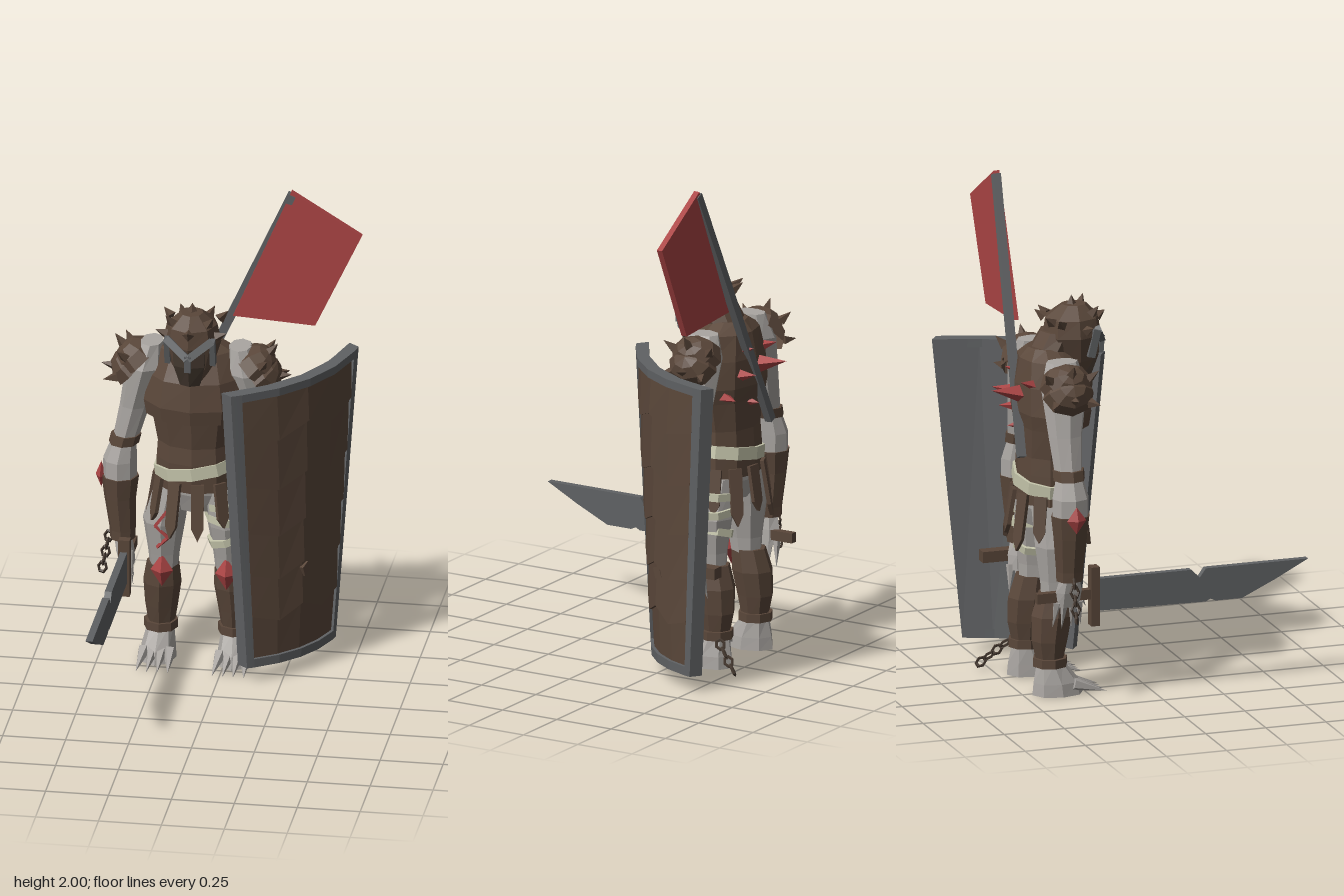
import * as THREE from 'three';

const mat = (color) => new THREE.MeshStandardMaterial({ color, flatShading: true, side: THREE.DoubleSide });
const SKIN = mat(0xaaa6a2), HIDE = mat(0x5a473a), STEEL = mat(0x606264), RED = mat(0xaa4444), CLOTH = mat(0xc4c4aa), DARK = mat(0x453930);
const V = (x, y, z) => new THREE.Vector3(x, y, z);
const UP = V(0, 1, 0);

function add(parent, name, geo, material, x = 0, y = 0, z = 0) {
  const m = new THREE.Mesh(geo, material);
  m.name = name;
  m.position.set(x, y, z);
  parent.add(m);
  return m;
}

// Stacked elliptical rings, bottom to top: [y, centre x, centre z, radius x, radius z]
function loft(parent, name, material, rings, n = 8) {
  const pos = [], idx = [];
  for (const [y, cx, cz, rx, rz] of rings)
    for (let i = 0; i < n; i++) {
      const a = (i / n) * Math.PI * 2;
      pos.push(cx + rx * Math.sin(a), y, cz + rz * Math.cos(a));
    }
  for (let j = 0; j < rings.length - 1; j++)
    for (let i = 0; i < n; i++) {
      const a = j * n + i, b = j * n + (i + 1) % n;
      idx.push(a, b, b + n, a, b + n, a + n);
    }
  const top = (rings.length - 1) * n;
  for (let i = 1; i < n - 1; i++) idx.push(0, i + 1, i, top, top + i, top + i + 1);
  const g = new THREE.BufferGeometry();
  g.setAttribute('position', new THREE.Float32BufferAttribute(pos, 3));
  g.setIndex(idx);
  g.computeVertexNormals();
  return add(parent, name, g, material);
}

// Pyramid spike with its base at p, pointing along dir
function spike(parent, name, material, p, dir, r, h, sides = 4) {
  const d = dir.clone().normalize();
  const m = add(parent, name, new THREE.ConeGeometry(r, h, sides), material);
  m.quaternion.setFromUnitVectors(UP, d);
  m.position.copy(p).addScaledVector(d, h / 2);
  return m;
}

// Straight bar from a to b
function bar(parent, name, material, a, b, w, d) {
  const m = add(parent, name, new THREE.BoxGeometry(w, a.distanceTo(b), d), material);
  m.position.copy(a).add(b).multiplyScalar(0.5);
  m.quaternion.setFromUnitVectors(UP, b.clone().sub(a).normalize());
  return m;
}

function gem(parent, name, x, y, z, sx, sy, sz) {
  add(parent, name, new THREE.OctahedronGeometry(1), RED, x, y, z).scale.set(sx, sy, sz);
}

function chain(parent, name, a, b, count) {
  const g = new THREE.Group();
  g.name = name;
  parent.add(g);
  for (let i = 0; i < count; i++) {
    const m = add(g, 'link', new THREE.TorusGeometry(0.017, 0.006, 4, 6), DARK);
    m.scale.y = 1.3;
    m.position.lerpVectors(a, b, i / (count - 1));
    m.quaternion.setFromUnitVectors(UP, b.clone().sub(a).normalize());
    m.rotateY(i % 2 ? Math.PI / 2 : 0.2);
  }
}

const outline = (pts) => new THREE.Shape(pts.map(([x, y]) => new THREE.Vector2(x, y)));
const slab = (pts, depth) => new THREE.ExtrudeGeometry(outline(pts), { depth, bevelEnabled: false });

function buildTorso(body) {
  loft(body, 'hips', SKIN, [[0.66, 0, -0.36, 0.1, 0.08], [0.74, 0, -0.36, 0.15, 0.11], [0.82, 0, -0.355, 0.15, 0.115]]);
  loft(body, 'belly', HIDE, [[0.76, 0, -0.355, 0.165, 0.125], [0.88, 0, -0.35, 0.16, 0.125], [0.95, 0, -0.35, 0.155, 0.12], [1.12, 0, -0.34, 0.185, 0.135]], 10);
  loft(body, 'breastplate', HIDE, [[1.07, 0, -0.335, 0.2, 0.145], [1.13, 0, -0.335, 0.21, 0.155], [1.24, 0, -0.34, 0.19, 0.145], [1.34, 0, -0.36, 0.15, 0.105], [1.38, 0, -0.36, 0.08, 0.07]], 10);
  const belt = loft(body, 'belt', CLOTH, [[-0.025, 0, 0, 0.172, 0.137], [0.025, 0, 0, 0.17, 0.135]], 10);
  belt.position.set(0, 0.845, -0.352);
  belt.rotation.z = 0.17;
  // Hanging hide strips around the hips
  const strip = slab([[-0.026, 0], [0.026, 0], [0.024, -0.18], [0, -0.23], [-0.024, -0.18]], 0.016);
  for (let i = 0; i < 11; i++) {
    const a = ((i + 0.25) / 11) * Math.PI * 2;
    const m = add(body, 'skirtStrip', strip, HIDE, 0.155 * Math.sin(a), 0.8, -0.355 + 0.12 * Math.cos(a));
    m.rotation.set(-0.16, a, 0, 'YXZ');
    m.scale.y = i % 2 ? 0.8 : 1;
  }
  // Red spines on the back
  for (const [x, y, z, dx, dy, r, h] of [[-0.03, 1.2, -0.46, -0.1, 0.2, 0.04, 0.14], [0.08, 1.18, -0.45, 0.25, 0.2, 0.03, 0.1],
    [-0.1, 1.25, -0.43, -0.3, 0.3, 0.028, 0.08], [0.14, 1.1, -0.42, 0.4, 0, 0.025, 0.08], [0.02, 1.06, -0.45, 0, 0, 0.022, 0.06], [0.05, 1.27, -0.44, 0.1, 0.3, 0.025, 0.07]])
    spike(body, 'backSpine', RED, V(x, y, z), V(dx, dy, -1), r, h);
}

function buildHead(body) {
  loft(body, 'neck', HIDE, [[1.28, 0, -0.37, 0.095, 0.07], [1.37, 0, -0.34, 0.09, 0.08], [1.44, 0, -0.3, 0.08, 0.08]]);
  loft(body, 'helmet', HIDE, [[1.25, 0, -0.235, 0.045, 0.05], [1.32, 0, -0.24, 0.085, 0.085], [1.42, 0, -0.25, 0.115, 0.12],
    [1.49, 0, -0.25, 0.1, 0.11], [1.54, 0, -0.24, 0.045, 0.05]]);
  loft(body, 'faceGuard', DARK, [[1.25, 0, -0.2, 0.045, 0.035], [1.34, 0, -0.18, 0.07, 0.045], [1.42, 0, -0.18, 0.075, 0.048]], 6);
  for (const s of [-1, 1]) {
    bar(body, 'visorBrow', STEEL, V(0, 1.385, -0.125), V(s * 0.09, 1.45, -0.17), 0.03, 0.025);
    bar(body, 'visorCheek', STEEL, V(s * 0.09, 1.45, -0.175), V(s * 0.09, 1.34, -0.2), 0.022, 0.03);
    for (const [x, y, z] of [[0.1, 1.45, -0.22], [0.07, 1.51, -0.19], [0.095, 1.48, -0.32], [0.05, 1.48, -0.345]])
      spike(body, 'helmetSpike', HIDE, V(s * x, y, z), V(s * x, y - 1.4, z + 0.25), 0.022, 0.05);
  }
  bar(body, 'visorNose', STEEL, V(0, 1.4, -0.125), V(0, 1.33, -0.13), 0.025, 0.02);
  spike(body, 'helmetCrest', HIDE, V(0, 1.525, -0.25), UP, 0.028, 0.05);
  spike(body, 'helmetSpike', HIDE, V(0, 1.48, -0.145), V(0, 0.6, 1), 0.025, 0.04);
}

function buildArm(body, s) {
  const arm = new THREE.Group();
  arm.name = s > 0 ? 'leftArm' : 'rightArm';
  body.add(arm);
  const X = (rings) => rings.map(([y, cx, cz, rx, rz]) => [y, s * cx, cz, rx, rz]);
  loft(arm, 'upperArm', SKIN, X([[0.92, 0.285, -0.36, 0.05, 0.055], [1.08, 0.245, -0.36, 0.06, 0.07], [1.26, 0.2, -0.35, 0.08, 0.095], [1.36, 0.175, -0.35, 0.045, 0.065]]));
  loft(arm, 'elbowBand', HIDE, X([[0.91, 0.29, -0.36, 0.06, 0.065], [0.95, 0.28, -0.36, 0.06, 0.065]])).rotation.z = 0;
  loft(arm, 'forearm', SKIN, X([[0.74, 0.305, -0.36, 0.068, 0.075], [0.84, 0.305, -0.36, 0.067, 0.075], [0.92, 0.29, -0.36, 0.05, 0.055]]));
  loft(arm, 'bracer', HIDE, X([[0.5, 0.295, -0.36, 0.05, 0.055], [0.54, 0.295, -0.36, 0.052, 0.056], [0.68, 0.305, -0.36, 0.064, 0.07], [0.77, 0.305, -0.36, 0.075, 0.08]]));
  gem(arm, 'forearmSpike', s * 0.38, 0.765, -0.36, 0.022, 0.055, 0.04);
  // Hand with clawed fingers
  loft(arm, 'palm', SKIN, X([[0.39, 0.275, -0.36, 0.03, 0.055], [0.45, 0.285, -0.36, 0.036, 0.055], [0.51, 0.295, -0.36, 0.035, 0.04]]), 6);
  for (let i = 0; i < 4; i++)
    spike(arm, 'finger', SKIN, V(s * 0.28, 0.41, -0.405 + i * 0.03), V(-s * 0.2, -1, (i - 1.5) * 0.08), 0.018, 0.13 - Math.abs(i - 1.5) * 0.012, 5);
  spike(arm, 'thumb', SKIN, V(s * 0.265, 0.46, -0.32), V(-s * 0.2, -1, 0.5), 0.018, 0.1, 5);
  // Overlapping shoulder plates with spikes
  [[0.225, 1.27, 0.105, 1], [0.25, 1.235, 0.1, 1.15]].forEach(([x, y, r, k]) => {
    const pad = add(arm, 'shoulderPlate', new THREE.SphereGeometry(r, 8, 3, 0, Math.PI * 2, 0, Math.PI / 2), HIDE, s * x, y, -0.35);
    pad.rotation.z = -s * 0.75 * k;
    pad.scale.set(0.85, 0.95, 1.05);
  });
  for (const [x, y, z] of [[0.29, 1.335, -0.35], [0.325, 1.24, -0.35], [0.27, 1.31, -0.27], [0.27, 1.31, -0.43], [0.31, 1.22, -0.28], [0.31, 1.22, -0.42]])
    spike(arm, 'shoulderSpike', HIDE, V(s * x, y, z), V(s * (x - 0.2), y - 1.22, z + 0.35), 0.022, 0.055);
}

function buildLeg(body, s) {
  const leg = new THREE.Group();
  leg.name = s > 0 ? 'leftLeg' : 'rightLeg';
  body.add(leg);
  const X = (rings) => rings.map(([y, cx, cz, rx, rz]) => [y, s * cx, cz, rx, rz]);
  loft(leg, 'thigh', SKIN, X([[0.38, 0.13, -0.36, 0.055, 0.06], [0.46, 0.13, -0.355, 0.063, 0.07], [0.6, 0.128, -0.35, 0.085, 0.095], [0.76, 0.095, -0.355, 0.075, 0.095]]));
  loft(leg, 'shinGuard', HIDE, X([[0.13, 0.145, -0.39, 0.052, 0.055], [0.22, 0.145, -0.39, 0.066, 0.075], [0.32, 0.14, -0.38, 0.076, 0.085], [0.41, 0.135, -0.365, 0.064, 0.072]]));
  loft(leg, 'ankleBand', HIDE, X([[0.115, 0.147, -0.39, 0.068, 0.07], [0.15, 0.147, -0.39, 0.068, 0.07]]));
  gem(leg, 'kneeSpike', s * 0.128, 0.4, -0.29, 0.045, 0.07, 0.035);
  loft(leg, 'foot', SKIN, X([[0, 0.153, -0.36, 0.072, 0.105], [0.05, 0.152, -0.365, 0.068, 0.095], [0.13, 0.147, -0.39, 0.052, 0.055]]));
  for (let i = 0; i < 4; i++)
    spike(leg, 'toe', SKIN, V(s * (0.1 + i * 0.034), 0.045, -0.31), V(s * (i - 1.5) * 0.06, -0.28, 1), 0.026, 0.14, 5);
}

// Curved tapering shield: u across, v up, d outward
function shieldPoint(u, v, d) {
  const hx = 0.148 + 0.062 * v, hz = 0.178 + 0.1 * v;
  const bulge = (0.055 + 0.035 * v) * (1 - u * u) + d;
  return V(0.245 + 0.013 * v + u * hx + 0.795 * bulge, 0.065 + 1.208 * v, -0.34 - u * hz + 0.607 * bulge);
}

function shieldPiece(parent, name, material, u0, u1, v0, v1, d0, d1, zig = 0) {
  const g = new THREE.BoxGeometry(1, 1, 1, 4, 1, 1), p = g.attributes.position;
  for (let i = 0; i < p.count; i++) {
    const u = u0 + (u1 - u0) * (p.getX(i) + 0.5), low = p.getY(i) < 0;
    const notch = low ? zig * (1 - 2 * Math.abs(Math.abs(u) - 0.5)) : 0;
    const d = p.getZ(i) < 0 ? d0 : d1 + (low && zig ? 0.014 : 0);
    p.setXYZ(i, ...shieldPoint(u, (low ? v0 : v1) - notch, d).toArray());
  }
  g.computeVertexNormals();
  add(parent, name, g, material);
}

function buildShield(root) {
  const g = new THREE.Group();
  g.name = 'shield';
  root.add(g);
  shieldPiece(g, 'backing', STEEL, -1, 1, 0, 1, -0.025, 0.008);
  for (const [a, b, c, d] of [[-1, -0.88, 0, 1], [0.88, 1, 0, 1], [-0.88, 0.88, 0, 0.03], [-0.88, 0.88, 0.972, 1]])
    shieldPiece(g, 'rim', STEEL, a, b, c, d, -0.025, 0.027);
  const edges = [0.03, 0.195, 0.345, 0.5, 0.67, 0.85, 0.972];
  for (let i = 0; i < 6; i++)
    shieldPiece(g, 'scaleRow', HIDE, -0.88, 0.88, edges[i], edges[i + 1], 0.006, 0.014, i ? 0.045 : 0);
  add(g, 'grip', new THREE.BoxGeometry(0.05, 0.045, 0.2), HIDE, 0.215, 0.44, -0.41);
  bar(g, 'gripStrut', HIDE, V(0.2, 0.44, -0.35), V(0.33, 0.44, -0.3), 0.045, 0.04);
}

function buildSword(root) {
  const g = new THREE.Group();
  g.name = 'sword';
  root.add(g);
  const blade = slab([[-0.25, 0.36], [0.21, 0.355], [0.23, 0.365], [0.25, 0.355], [0.36, 0.355], [0.5, 0.42], [0.635, 0.49],
    [0.21, 0.49], [0.185, 0.455], [0.15, 0.49], [-0.25, 0.49]], 0.028);
  add(g, 'blade', blade, STEEL, -0.372, 0, 0).rotation.y = -Math.PI / 2;
  add(g, 'guard', new THREE.BoxGeometry(0.045, 0.24, 0.035), HIDE, -0.385, 0.42, -0.25);
  add(g, 'handle', new THREE.BoxGeometry(0.03, 0.04, 0.25), HIDE, -0.387, 0.43, -0.365);
}

function buildBanner(root) {
  const g = new THREE.Group();
  g.name = 'banner';
  root.add(g);
  bar(g, 'pole', STEEL, V(-0.21, 0.96, -0.49), V(0.252, 1.985, -0.435), 0.034, 0.03);
  add(g, 'flag', slab([[0.018, 1.452], [0.345, 1.432], [0.53, 1.828], [0.25, 2]], 0.024), RED, 0, 0, -0.446);
}

export function createModel() {
  const root = new THREE.Group();
  root.name = 'armouredWarrior';
  const body = new THREE.Group();
  body.name = 'body';
  body.position.x = -0.115;
  root.add(body);
  buildTorso(body);
  buildHead(body);
  for (const s of [-1, 1]) { buildArm(body, s); buildLeg(body, s); }
  // Cloth wraps on the left thigh, painted zigzag on the right
  for (const [y, r, t] of [[0.54, 0.083, 0.3], [0.63, 0.092, -0.12], [0.69, 0.09, 0.1]]) {
    const wrap = loft(body, 'thighWrap', CLOTH, [[-0.015, 0, 0, r, r + 0.012], [0.015, 0, 0, r, r + 0.012]]);
    wrap.position.set(0.125, y, -0.352);
    wrap.rotation.z = t;
  }
  const zig = [V(-0.1, 0.67, -0.257), V(-0.15, 0.6, -0.262), V(-0.1, 0.55, -0.268), V(-0.145, 0.5, -0.282)];
  for (let i = 0; i < 3; i++) bar(body, 'paintStripe', RED, zig[i], zig[i + 1], 0.012, 0.012);
  buildShield(root);
  buildSword(root);
  buildBanner(root);
  chain(root, 'wristChain', V(-0.465, 0.5, -0.36), V(-0.49, 0.365, -0.36), 5);
  chain(root, 'ankleChain', V(0.1, 0.11, -0.45), V(0.145, 0.03, -0.535), 4);
  return root;
}
